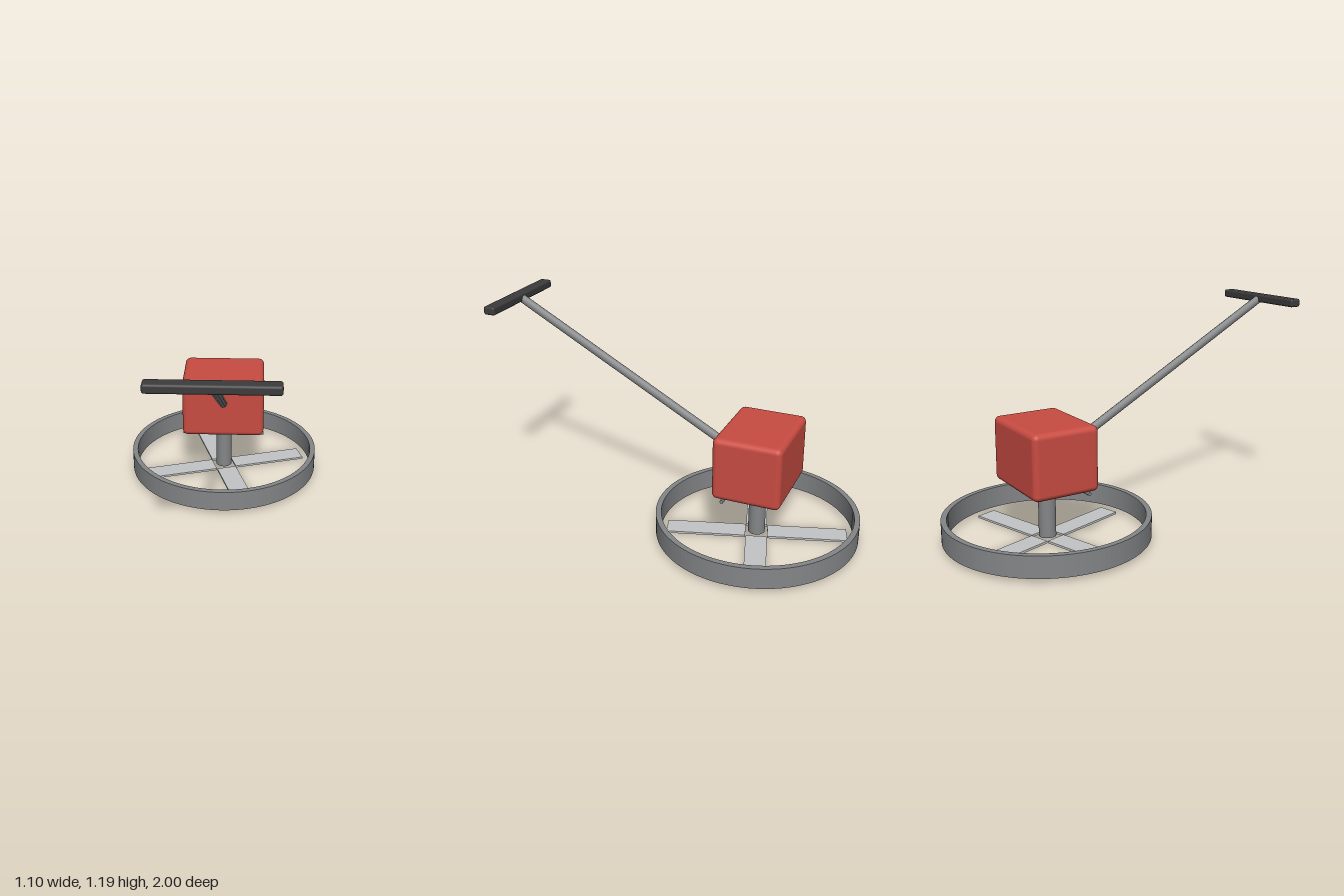
import * as THREE from 'three';
import { RoundedBoxGeometry } from 'three/addons/geometries/RoundedBoxGeometry.js';

const mat = (name, color) => {
  const m = new THREE.MeshStandardMaterial({ color });
  m.name = name;
  return m;
};

export function createModel() {
  const red = mat('red paint', 0xc94c42);
  const steel = mat('steel grey', 0x848688);
  const blade = mat('light blade metal', 0xc2c4c6);
  const rubber = mat('dark rubber', 0x3c3c3c);

  const model = new THREE.Group();
  model.name = 'rotaryTool';
  const axisZ = -0.45; // rotor axis

  const add = (name, geometry, material, x, y, z, parent = model) => {
    const mesh = new THREE.Mesh(geometry, material);
    mesh.name = name;
    mesh.position.set(x, y, z);
    parent.add(mesh);
    return mesh;
  };

  // Cylinder running between two points
  const rod = (name, a, b, radius, sides, material) => {
    const dir = b.clone().sub(a);
    const mid = a.clone().add(b).multiplyScalar(0.5);
    const mesh = add(name, new THREE.CylinderGeometry(radius, radius, dir.length(), sides), material, mid.x, mid.y, mid.z);
    mesh.quaternion.setFromUnitVectors(new THREE.Vector3(0, 1, 0), dir.normalize());
    return mesh;
  };

  // Guard ring: flat band with square edges
  const ringShape = new THREE.Shape().absarc(0, 0, 0.55, 0, Math.PI * 2, false);
  ringShape.holes.push(new THREE.Path().absarc(0, 0, 0.52, 0, Math.PI * 2, true));
  const ringGeo = new THREE.ExtrudeGeometry(ringShape, { depth: 0.116, bevelEnabled: false, curveSegments: 64 });
  ringGeo.rotateX(-Math.PI / 2);
  add('guardRing', ringGeo, steel, 0, 0.021, axisZ);

  // Four flat blades around the shaft
  const rotor = new THREE.Group();
  rotor.name = 'rotor';
  rotor.position.set(0, 0.008, axisZ);
  model.add(rotor);
  const bladeGeo = new THREE.BoxGeometry(0.43, 0.012, 0.115).translate(0.275, 0, 0);
  for (let i = 0; i < 4; i++) {
    add('blade', bladeGeo, blade, 0, 0, 0, rotor).rotation.y = 0.3 + i * Math.PI / 2;
  }

  // Drive shaft
  rod('shaft', new THREE.Vector3(0, 0.014, axisZ), new THREE.Vector3(0, 0.32, axisZ), 0.046, 32, steel);

  // Motor housing
  add('motorHousing', new RoundedBoxGeometry(0.468, 0.347, 0.37, 4, 0.03), red, 0, 0.468, axisZ);

  // Thin cross bar under the front of the housing
  rod('crossBar', new THREE.Vector3(-0.235, 0.29, -0.327), new THREE.Vector3(0.235, 0.29, -0.327), 0.01, 12, steel);

  // Sloping handle and grip
  rod('handle', new THREE.Vector3(0, 0.48, -0.315), new THREE.Vector3(0, 1.173, 0.96), 0.023, 10, steel);
  add('grip', new RoundedBoxGeometry(0.584, 0.044, 0.066, 2, 0.011), rubber, 0, 1.173, 0.967);

  return model;
}
